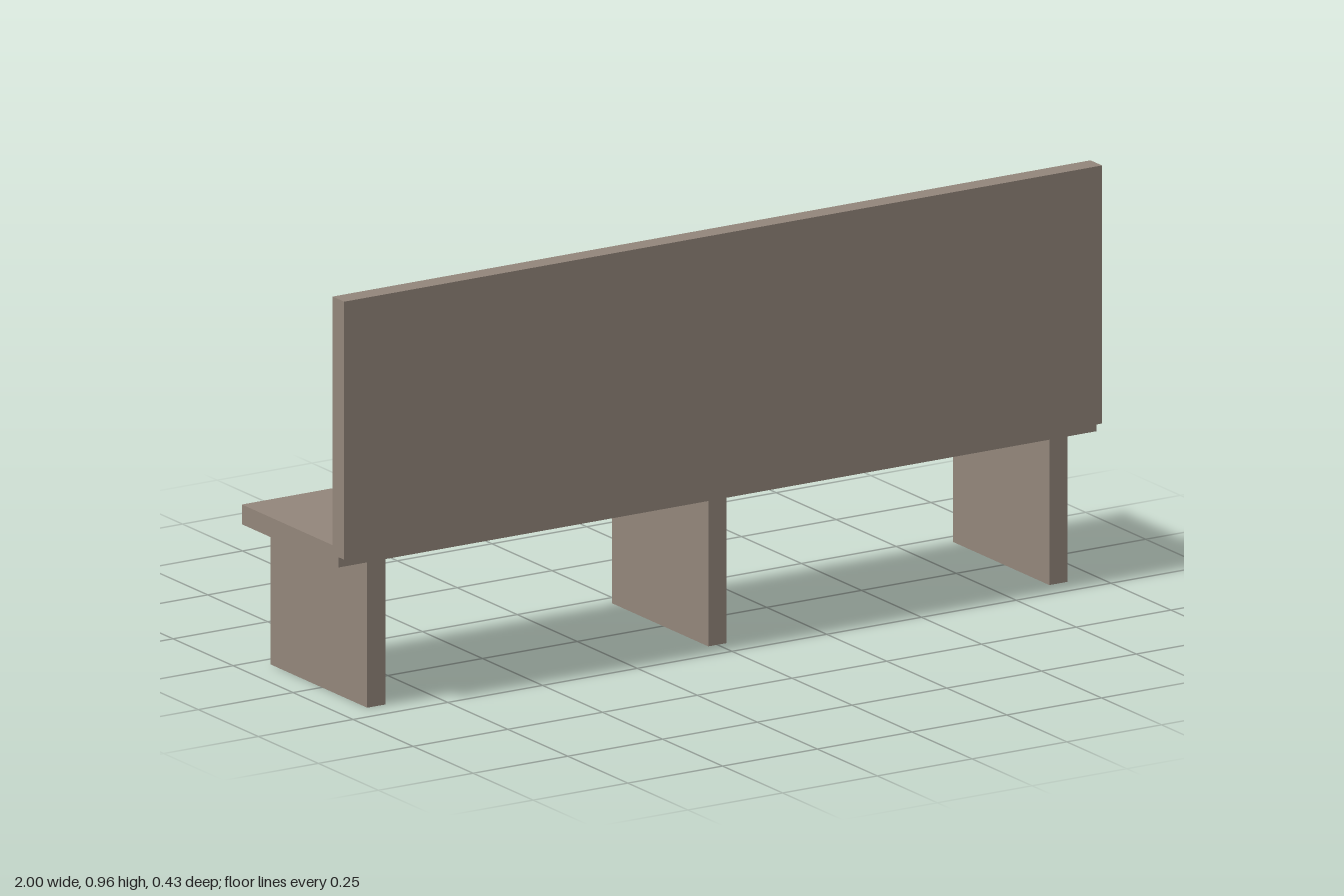
import * as THREE from 'three';

export function createModel() {
  const bench = new THREE.Group();
  bench.name = 'bench';

  const wood = new THREE.MeshStandardMaterial({ color: 0x92857a });
  wood.name = 'greyBrownWood';

  // Adds a board given its [min, max] extent on each axis
  function board(name, [x0, x1], [y0, y1], [z0, z1]) {
    const mesh = new THREE.Mesh(new THREE.BoxGeometry(x1 - x0, y1 - y0, z1 - z0), wood);
    mesh.position.set((x0 + x1) / 2, (y0 + y1) / 2, (z0 + z1) / 2);
    mesh.name = name;
    bench.add(mesh);
  }

  const depth = [-0.213, 0.189];
  const seatBottom = 0.338;

  // Seat plank and the upright panel let into its edge
  board('seat', [-1, 1], [seatBottom, 0.384], depth);
  board('backrest', [-1, 1], [0.362, 0.962], [0.165, 0.213]);

  // Three slab legs as deep as the seat
  const legs = { rightLeg: -0.9, middleLeg: 0, leftLeg: 0.9 };
  for (const [name, x] of Object.entries(legs)) {
    board(name, [x - 0.024, x + 0.024], [0, seatBottom], depth);
  }

  return bench;
}
